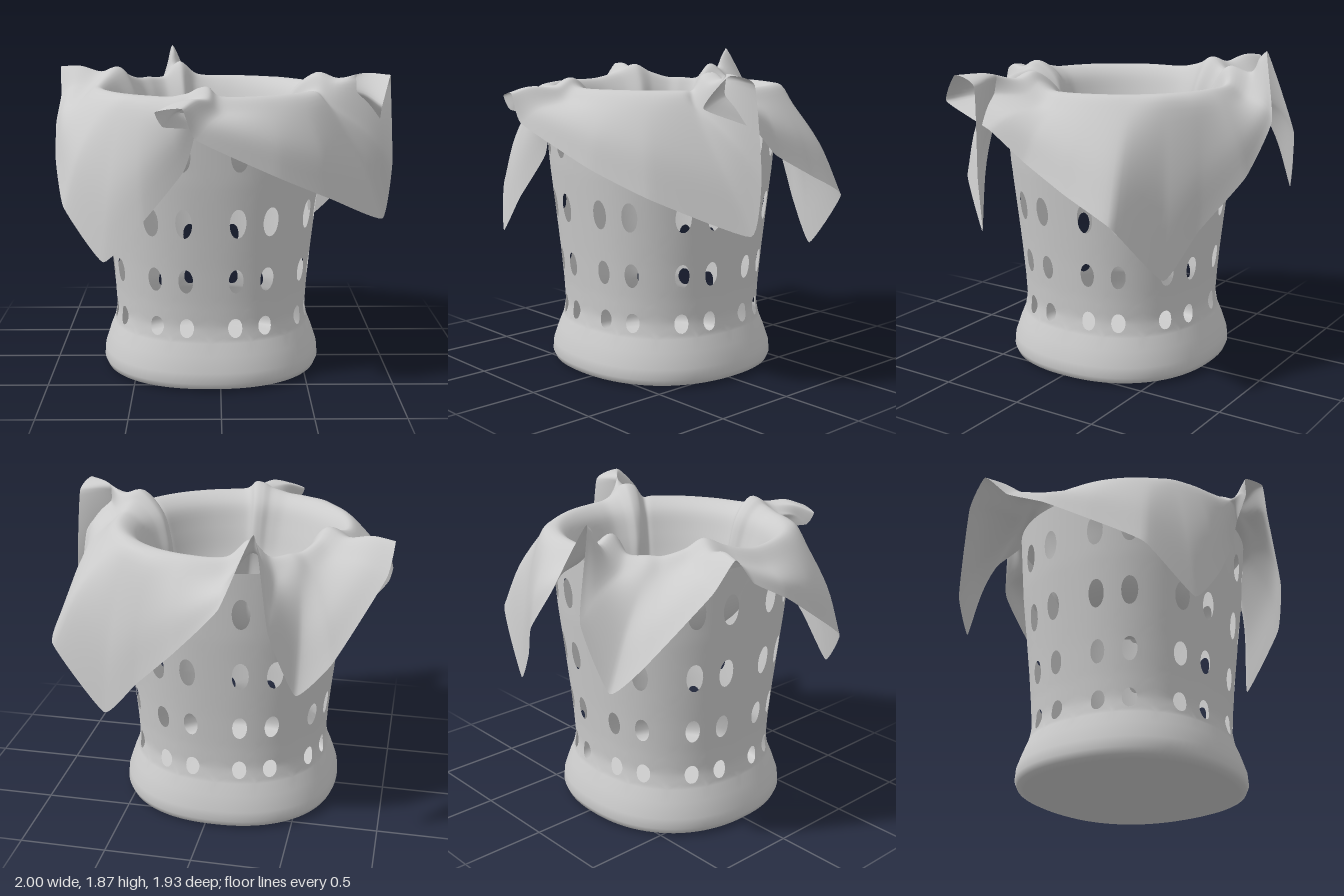
import * as THREE from 'three';
import { mergeVertices } from 'three/addons/utils/BufferGeometryUtils.js';

const CX = -0.055, CZ = -0.015;
const V = (x, y, z) => new THREE.Vector3(x, y, z);

// Basket silhouette: radius and height from the base upward
const profile = [[0.6, 0], [0.64, 0.015], [0.655, 0.05], [0.65, 0.11], [0.62, 0.2], [0.588, 0.28],
  [0.574, 0.36], [0.582, 0.5], [0.6, 0.7], [0.627, 0.95], [0.655, 1.2], [0.685, 1.6]];

function radiusAt(y) {
  let i = 1;
  while (i < profile.length - 1 && profile[i][1] < y) i++;
  const [r0, y0] = profile[i - 1], [r1, y1] = profile[i];
  return r0 + (r1 - r0) * (y - y0) / (y1 - y0);
}

// Point on the slightly squared wall
function wallPoint(angle, y, r = radiusAt(y)) {
  const s = Math.sin(angle), c = Math.cos(angle), n = 2.25;
  const k = r / Math.pow(Math.abs(s) ** n + Math.abs(c) ** n, 1 / n);
  return V(CX + k * s, y, CZ + 0.975 * k * c);
}

function makeGeometry(points, index) {
  let g = new THREE.BufferGeometry().setFromPoints(points);
  g.setIndex(index);
  g = mergeVertices(g, 1e-4);
  g.computeVertexNormals();
  return g;
}

// Adds a grid of quads between successive rows of equal length
function addRows(rows, points, index) {
  const base = points.length, n = rows[0].length;
  rows.forEach(row => points.push(...row));
  for (let j = 0; j < rows.length - 1; j++) {
    for (let i = 0; i < n - 1; i++) {
      const a = base + j * n + i, b = a + 1, c = a + n, d = c + 1;
      index.push(a, b, d, a, d, c);
    }
  }
}

function basketGeometry() {
  const points = [], index = [], SIDE = 6, COLS = 16;
  // Solid base and foot
  const steps = Array.from({ length: COLS * SIDE + 1 }, (_, i) => i / (COLS * SIDE) * Math.PI * 2);
  const ring = (y, r) => steps.map(a => wallPoint(a, y, r));
  const foot = [ring(0, 0.0001), ring(0, 0.3)];
  for (const [r, y] of profile) if (y < 0.27) foot.push(ring(y, r));
  foot.push(ring(0.27));
  addRows(foot, points, index);

  // Perforated wall: one cell around each oval hole
  const rowsOfHoles = [ // bottom, top, hole centre, half height, half width
    [0.27, 0.49, 0.355, 0.056, 0.041], [0.49, 0.79, 0.635, 0.07, 0.042],
    [0.79, 1.17, 0.975, 0.085, 0.047], [1.17, 1.6, 1.36, 0.09, 0.05]];
  const cell = Math.PI * 2 / COLS;
  for (const [y0, y1, hy, hh, hw] of rowsOfHoles) {
    for (let c = 0; c < COLS; c++) {
      const a0 = c * cell, a1 = a0 + cell;
      const ha = a0 + cell * (c % 2 ? 0.39 : 0.61), wa = hw / radiusAt(hy);
      const border = [];
      const corners = [[a0, y0], [a1, y0], [a1, y1], [a0, y1]];
      for (let s = 0; s < 4; s++) {
        const [pa, py] = corners[s], [qa, qy] = corners[(s + 1) % 4];
        for (let i = 0; i < SIDE; i++) {
          border.push([pa + (qa - pa) * i / SIDE, py + (qy - py) * i / SIDE]);
        }
      }
      border.push(border[0]);
      const rows = [0, 0.33, 0.66, 1].map(t => border.map(([a, y]) => {
        const th = Math.atan2((y - hy) / (y1 - y0), (a - ha) / cell);
        const ea = ha + wa * Math.cos(th), ey = hy + hh * Math.sin(th);
        return wallPoint(a + (ea - a) * t, y + (ey - y) * t);
      }));
      addRows(rows, points, index);
    }
  }
  return makeGeometry(points, index);
}

// Hem of the cloth: x, y, z and the angle where it crosses the rim
const hem = [
  [-0.64, 0.80, 0.74, -40], [-0.42, 1.03, 0.77, -30], [-0.2, 1.3, 0.74, -20],
  [-0.14, 1.52, 0.76, -14], [-0.3, 1.56, 0.9, -10], [-0.34, 1.64, 0.92, -6],
  [-0.2, 1.66, 0.96, -1], [-0.13, 1.5, 0.95, 5], [0.3, 1.28, 0.82, 25],
  [0.6, 1.13, 0.65, 42], [0.95, 0.93, 0.25, 58], [1.0, 1.25, 0.23, 63],
  [0.97, 1.73, 0.26, 68], [0.94, 1.78, 0.42, 74], [0.88, 1.62, 0.54, 79],
  [0.92, 1.5, 0.21, 86], [0.89, 1.34, 0, 94], [0.91, 1.2, -0.28, 108],
  [0.9, 1.06, -0.56, 124], [0.57, 0.71, -0.68, 140], [0.35, 0.95, -0.77, 153],
  [0.1, 1.22, -0.92, 168], [-0.15, 1.5, -0.95, 187], [-0.31, 1.87, -0.83, 198],
  [-0.41, 1.4, -0.97, 207], [-0.55, 1.03, -0.9, 217], [-0.73, 1.2, -0.83, 224],
  [-0.97, 1.6, -0.58, 234], [-1.0, 1.76, -0.45, 243], [-0.98, 1.6, -0.29, 254],
  [-0.98, 1.46, -0.03, 268], [-0.95, 1.28, 0.25, 288], [-0.87, 1.07, 0.57, 308]];

function clothGeometry() {
  const rad = Math.PI / 180, N = hem.length * 8, points = [], index = [];
  const loop = (list, tension) => new THREE.CatmullRomCurve3(list, true, 'catmullrom', tension);
  const edge = loop(hem.map(([x, y, z]) => V(x, y, z)), 0.22);
  // Direction of each spoke, with the fold lift growing where the hem rides high
  const direction = loop(hem.map(([, y, , angle]) =>
    V(Math.sin(angle * rad), Math.cos(angle * rad), THREE.MathUtils.clamp((y - 1.48) * 3, 0, 0.9))), 0.45);
  const spokes = [];
  for (let i = 0; i <= N; i++) {
    const t = (i % N) / N, tip = edge.getPoint(t), s = direction.getPoint(t), f = s.z;
    const len = Math.hypot(s.x, s.y);
    const at = (r, y) => V(CX + r * s.x / len, y, CZ + r * s.y / len);
    // The opening sits a little towards the left and back
    const inner = (r, y) => at(r, y).add(V(-0.02, 0, -0.025));
    const shoulder = at(0.765, 1.61 + 0.15 * f);
    const mid = shoulder.clone().lerp(tip, 0.5);
    mid.add(V(s.x, 0.6, s.y).multiplyScalar(0.03 * (1 - f))).add(V(0, 0.02 * f, 0));
    // Sagging bowl, rolled rim, then the hanging panel
    const path = new THREE.CatmullRomCurve3([
      inner(0.0001, 1.07), inner(0.2, 1.085), inner(0.37, 1.16), inner(0.47 - 0.03 * f, 1.3),
      inner(0.53 - 0.08 * f, 1.49), inner(0.585 - 0.08 * f, 1.63 + 0.03 * f),
      at(0.67 - 0.04 * f, 1.685 + 0.1 * f), shoulder, mid, tip], false, 'catmullrom', 0.5);
    spokes.push(path.getPoints(45));
  }
  // Regroup the spokes into rings, hem first
  const rings = spokes[0].map((_, j) => spokes.map(p => p[j]));
  addRows(rings.reverse(), points, index);
  return makeGeometry(points, index);
}

export function createModel() {
  const group = new THREE.Group();
  const material = new THREE.MeshStandardMaterial({ color: 0xcccccc, side: THREE.DoubleSide });
  const add = (name, geometry) => {
    const mesh = new THREE.Mesh(geometry, material);
    mesh.name = name;
    group.add(mesh);
  };
  add('perforatedBasket', basketGeometry());
  add('drapedCloth', clothGeometry());
  return group;
}
